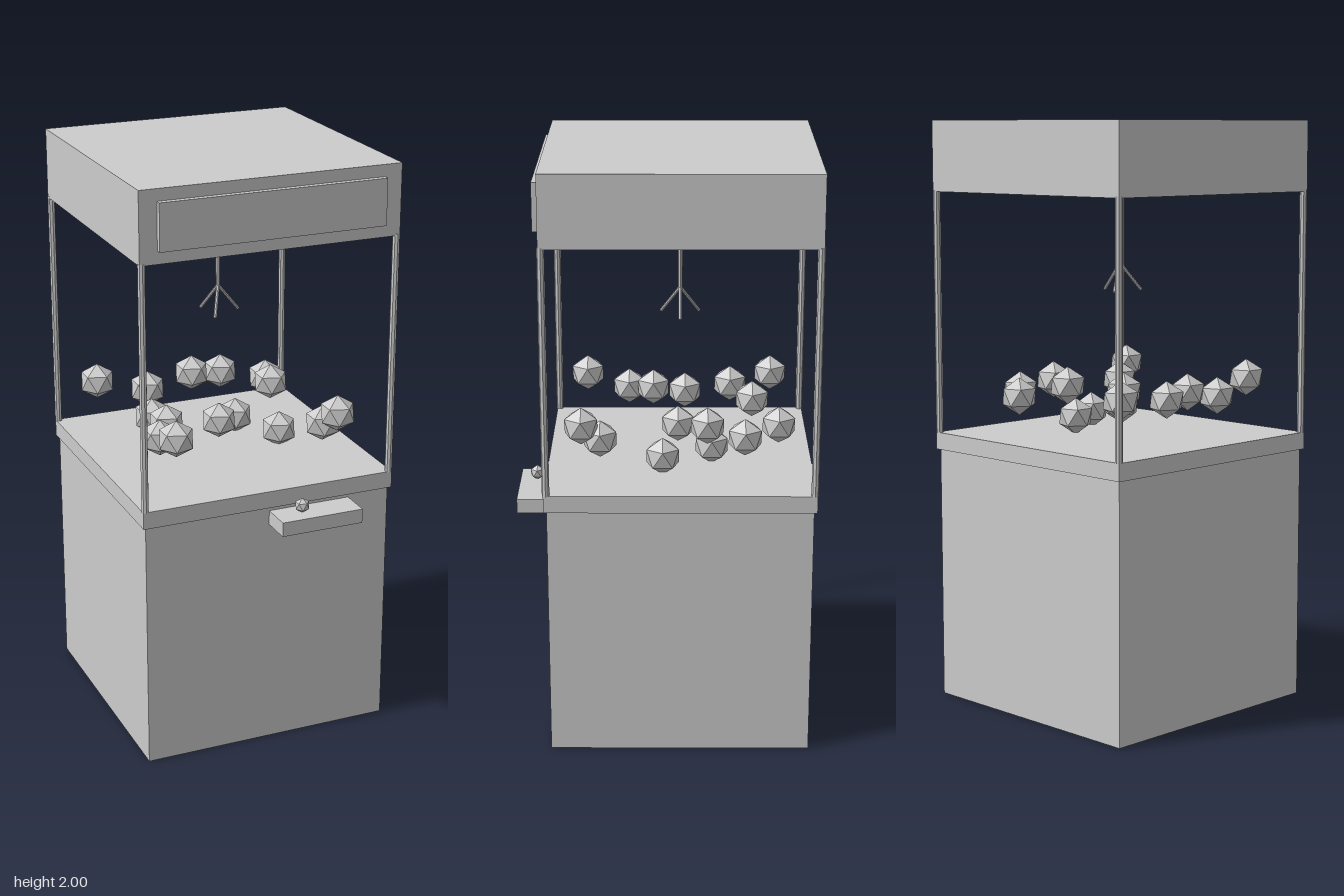
import * as THREE from 'three';

const grey = new THREE.MeshStandardMaterial({ color: 0xcccccc });
grey.name = 'light grey';
const CZ = -0.049; // depth centre of the cabinet

export function createModel() {
  const model = new THREE.Group();
  model.name = 'clawMachine';

  const add = (name, geometry, x = 0, y = 0, z = 0) => {
    const mesh = new THREE.Mesh(geometry, grey);
    mesh.name = name;
    mesh.position.set(x, y, z);
    model.add(mesh);
    return mesh;
  };
  // box given by its lower and upper corners
  const box = (name, [x0, y0, z0], [x1, y1, z1]) =>
    add(name, new THREE.BoxGeometry(x1 - x0, y1 - y0, z1 - z0),
      (x0 + x1) / 2, (y0 + y1) / 2, (z0 + z1) / 2);
  // faceted rod between two points
  const rod = (name, a, b, radius) => {
    const dir = b.clone().sub(a);
    const mid = a.clone().add(b).multiplyScalar(0.5);
    const geometry = new THREE.CylinderGeometry(radius, radius, dir.length(), 8).toNonIndexed();
    geometry.computeVertexNormals();
    add(name, geometry, mid.x, mid.y, mid.z)
      .quaternion.setFromUnitVectors(new THREE.Vector3(0, 1, 0), dir.normalize());
  };
  // icosahedron standing on a point
  const ball = (radius) => new THREE.IcosahedronGeometry(radius, 0)
    .rotateX(-Math.atan2((1 + Math.sqrt(5)) / 2, 1)).rotateY(Math.PI / 2);

  // cabinet, prize floor and head
  box('cabinet', [-0.44, 0, CZ - 0.44], [0.44, 0.875, CZ + 0.44]);
  box('prizeFloor', [-0.45, 0.873, CZ - 0.45], [0.45, 0.932, CZ + 0.45]);
  box('head', [-0.45, 1.76, CZ - 0.45], [0.45, 2, CZ + 0.45]);
  box('signPanel', [-0.39, 1.803, 0.39], [0.39, 1.96, 0.421]);

  // corner posts
  for (const sx of [-1, 1]) for (const sz of [-1, 1]) {
    const x = sx * 0.441, z = CZ + sz * 0.441;
    rod('cornerPost', new THREE.Vector3(x, 0.93, z), new THREE.Vector3(x, 1.765, z), 0.0125);
  }

  // control shelf and knob
  box('controlShelf', [0, 0.809, 0.38], [0.292, 0.859, 0.5]);
  add('controlKnob', ball(0.026), 0.097, 0.883, 0.442);

  // claw: cable and three spread prongs
  const hub = new THREE.Vector3(0, 1.517, CZ);
  rod('clawCable', hub, new THREE.Vector3(0, 1.765, CZ), 0.008);
  for (let i = 0; i < 3; i++) {
    const a = i * Math.PI * 2 / 3;
    rod('clawProng', hub,
      new THREE.Vector3(0.075 * Math.cos(a), 1.424, CZ + 0.075 * Math.sin(a)), 0.006);
  }

  // prizes heaped above the floor
  const prize = ball(0.064);
  const spots = [
    [-0.287, 1.12, 0.28], [0.3, 1.123, 0.28], [-0.287, 1.07, 0.132],
    [-0.23, 1.085, 0.045], [-0.24, 1.07, -0.067], [-0.33, 1.107, -0.374],
    [-0.195, 1.11, -0.226], [0, 1.118, -0.297], [0, 1.027, -0.042],
    [0.11, 0.988, -0.157], [0.206, 0.983, 0.01], [0.24, 1.103, -0.14],
    [0.148, 1.075, -0.383], [0.275, 1.075, -0.265], [0.275, 1.07, 0.218],
  ];
  for (const [x, y, z] of spots) add('prize', prize, x, y, z);

  return model;
}
